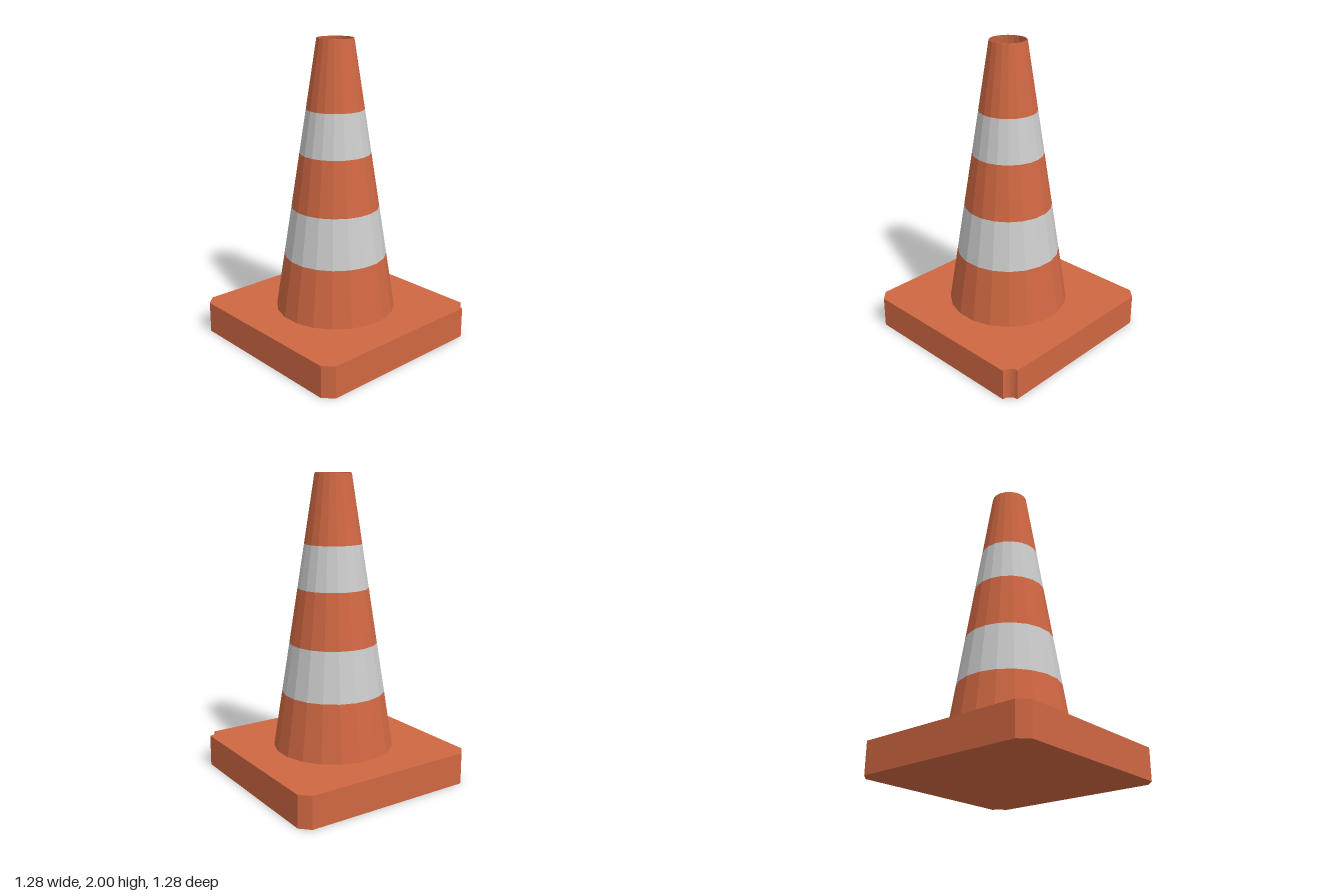
import * as THREE from 'three';

const SIDES = 20;
const BASE_TOP = 0.21, TOP = 2;
const R_BOTTOM = 0.399, R_TOP = 0.118, WALL = 0.005;

const orange = new THREE.MeshStandardMaterial({ color: 0xcf6742, flatShading: true });
const grey = new THREE.MeshStandardMaterial({ color: 0xcccccc, flatShading: true });

// Outer radius of the cone at a given height
const radiusAt = (y) => THREE.MathUtils.mapLinear(y, BASE_TOP, TOP, R_BOTTOM, R_TOP);

// Faceted ring surface; flat facets face the four axes
function ring(name, points, material) {
  const profile = points.map(([r, y]) => new THREE.Vector2(r, y));
  const mesh = new THREE.Mesh(new THREE.LatheGeometry(profile, SIDES, Math.PI / SIDES), material);
  mesh.name = name;
  return mesh;
}

// Square foot: three chamfered corners and one scooped corner at front left
function createBase() {
  const a = 0.638, c = 0.062, b = a - c;
  const shape = new THREE.Shape();
  shape.moveTo(-b, -a);
  shape.lineTo(b, -a);
  shape.absarc(a, -a, c, Math.PI, Math.PI / 2, true);
  [[a, b], [b, a], [-b, a], [-a, b], [-a, -b]].forEach(([x, y]) => shape.lineTo(x, y));
  shape.closePath();
  const geometry = new THREE.ExtrudeGeometry(shape, { depth: BASE_TOP, bevelEnabled: false, curveSegments: 6 });
  geometry.rotateX(-Math.PI / 2);
  const mesh = new THREE.Mesh(geometry, orange);
  mesh.name = 'base';
  return mesh;
}

export function createModel() {
  const model = new THREE.Group();
  model.name = 'trafficCone';
  model.add(createBase());

  // Alternating body sections and reflective bands, flush with each other
  const heights = [BASE_TOP, 0.585, 0.912, 1.272, 1.556, TOP];
  const names = ['lowerBody', 'lowerBand', 'middleBody', 'upperBand', 'upperBody'];
  names.forEach((name, i) => {
    const section = [heights[i], heights[i + 1]].map((y) => [radiusAt(y), y]);
    model.add(ring(name, section, i % 2 ? grey : orange));
  });

  // Thin rim and hollow inside, open at the top
  model.add(ring('rimAndInnerWall', [
    [R_TOP, TOP],
    [R_TOP - WALL, TOP],
    [R_BOTTOM - WALL, BASE_TOP],
  ], orange));

  return model;
}
